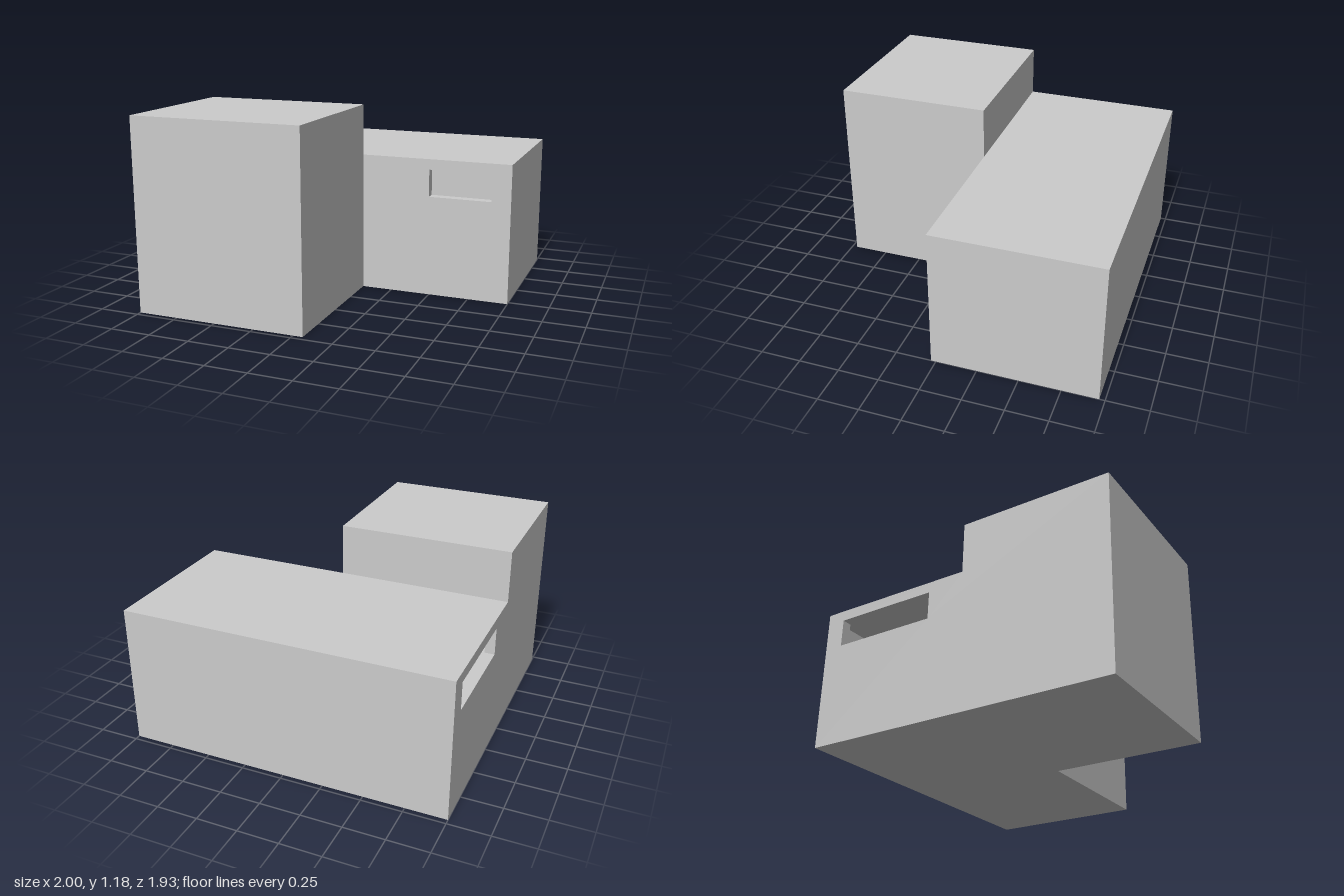
import * as THREE from 'three';

const WALL = 0.06;
const material = new THREE.MeshStandardMaterial({ color: 0xcccccc, flatShading: true });

// Flat panel perpendicular to one axis: outline and hole are 2D points in the
// remaining two axes (x: [z,y], y: [x,z], z: [x,y]); sign picks the facing side.
function panel(name, axis, at, sign, outline, hole = null) {
  const toPoint = {
    x: ([z, y]) => [at, y, z],
    y: ([x, z]) => [x, at, z],
    z: ([x, y]) => [x, y, at],
  }[axis];
  const contour = outline.map(p => new THREE.Vector2(...p));
  const holes = hole ? [hole.map(p => new THREE.Vector2(...p))] : [];
  const triangles = THREE.ShapeUtils.triangulateShape(contour, holes);
  const points = [...contour, ...holes.flat()].map(p => new THREE.Vector3(...toPoint([p.x, p.y])));
  const positions = [];
  for (const [a, b, c] of triangles) {
    const normal = points[b].clone().sub(points[a]).cross(points[c].clone().sub(points[a]));
    const order = normal[axis] * sign > 0 ? [a, b, c] : [a, c, b];
    for (const i of order) positions.push(...points[i].toArray());
  }
  const geometry = new THREE.BufferGeometry();
  geometry.setAttribute('position', new THREE.Float32BufferAttribute(positions, 3));
  geometry.computeVertexNormals();
  const mesh = new THREE.Mesh(geometry, material);
  mesh.name = name;
  return mesh;
}

const rect = (u0, u1, v0, v1) => [[u0, v0], [u1, v0], [u1, v1], [u0, v1]];

// Window openings
const frontWindow = { u0: 0.49, u1: 0.88, v0: 0.63, v1: 0.8 };
const sideWindow = { u0: -0.85, u1: -0.2, v0: 0.63, v1: 0.8 };
const opening = w => rect(w.u0, w.u1, w.v0, w.v1);

// L-shaped shell: a low wing along the back and a tall block in front.
// side = 1 faces outward, -1 faces into the room.
function shell(name, side, d) {
  const { xL, xM, xR, zB, zM, zS, zF, y0, yLow, yHigh } = d;
  const group = new THREE.Group();
  group.name = name;
  group.add(
    panel('floor', 'y', y0, -side, [[xL, zB], [xR, zB], [xR, zM], [xM, zM], [xM, zF], [xL, zF]]),
    panel('lowRoof', 'y', yLow, side, [[xL, zB], [xR, zB], [xR, zM], [xM, zM], [xM, zS], [xL, zS]]),
    panel('highRoof', 'y', yHigh, side, rect(xL, xM, zS, zF)),
    panel('backWall', 'z', zB, -side, rect(xL, xR, y0, yLow)),
    panel('stepWall', 'z', zS, -side, rect(xL, xM, yLow, yHigh)),
    panel('tallFrontWall', 'z', zF, side, rect(xL, xM, y0, yHigh)),
    panel('lowFrontWall', 'z', zM, side, rect(xM, xR, y0, yLow), opening(frontWindow)),
    panel('endWall', 'x', xR, side, rect(zB, zM, y0, yLow)),
    panel('tallInnerSideWall', 'x', xM, side,
      [[zM, y0], [zF, y0], [zF, yHigh], [zS, yHigh], [zS, yLow], [zM, yLow]]),
    panel('longSideWall', 'x', xL, -side,
      [[zB, y0], [zF, y0], [zF, yHigh], [zS, yHigh], [zS, yLow], [zB, yLow]], opening(sideWindow)),
  );
  return group;
}

// Four reveal faces lining an opening through the wall
function reveal(name, axis, w, d0, d1) {
  const group = new THREE.Group();
  group.name = name;
  const across = axis === 'z' ? 'x' : 'z';
  const jamb = axis === 'z' ? rect(d0, d1, w.v0, w.v1) : rect(d0, d1, w.v0, w.v1);
  const sill = axis === 'z' ? rect(w.u0, w.u1, d0, d1) : rect(d0, d1, w.u0, w.u1);
  group.add(
    panel('jambA', across, w.u0, 1, jamb),
    panel('jambB', across, w.u1, -1, jamb),
    panel('sill', 'y', w.v0, 1, sill),
    panel('lintel', 'y', w.v1, -1, sill),
  );
  return group;
}

export function createModel() {
  const outer = {
    xL: -1, xM: 0.06, xR: 1, zB: -0.967, zM: 0.03, zS: 0.03, zF: 0.967,
    y0: 0, yLow: 0.865, yHigh: 1.18,
  };
  // Room inside, with a raised floor
  const inner = {
    xL: outer.xL + WALL, xM: outer.xM - WALL, xR: outer.xR - WALL,
    zB: outer.zB + WALL, zM: outer.zM - WALL, zS: outer.zS + WALL, zF: outer.zF - WALL,
    y0: 0.4, yLow: outer.yLow - WALL, yHigh: outer.yHigh - WALL,
  };
  const model = new THREE.Group();
  model.name = 'building';
  model.add(
    shell('exterior', 1, outer),
    shell('interior', -1, inner),
    reveal('frontWindow', 'z', frontWindow, inner.zM, outer.zM),
    reveal('sideWindow', 'x', sideWindow, outer.xL, inner.xL),
  );
  return model;
}
